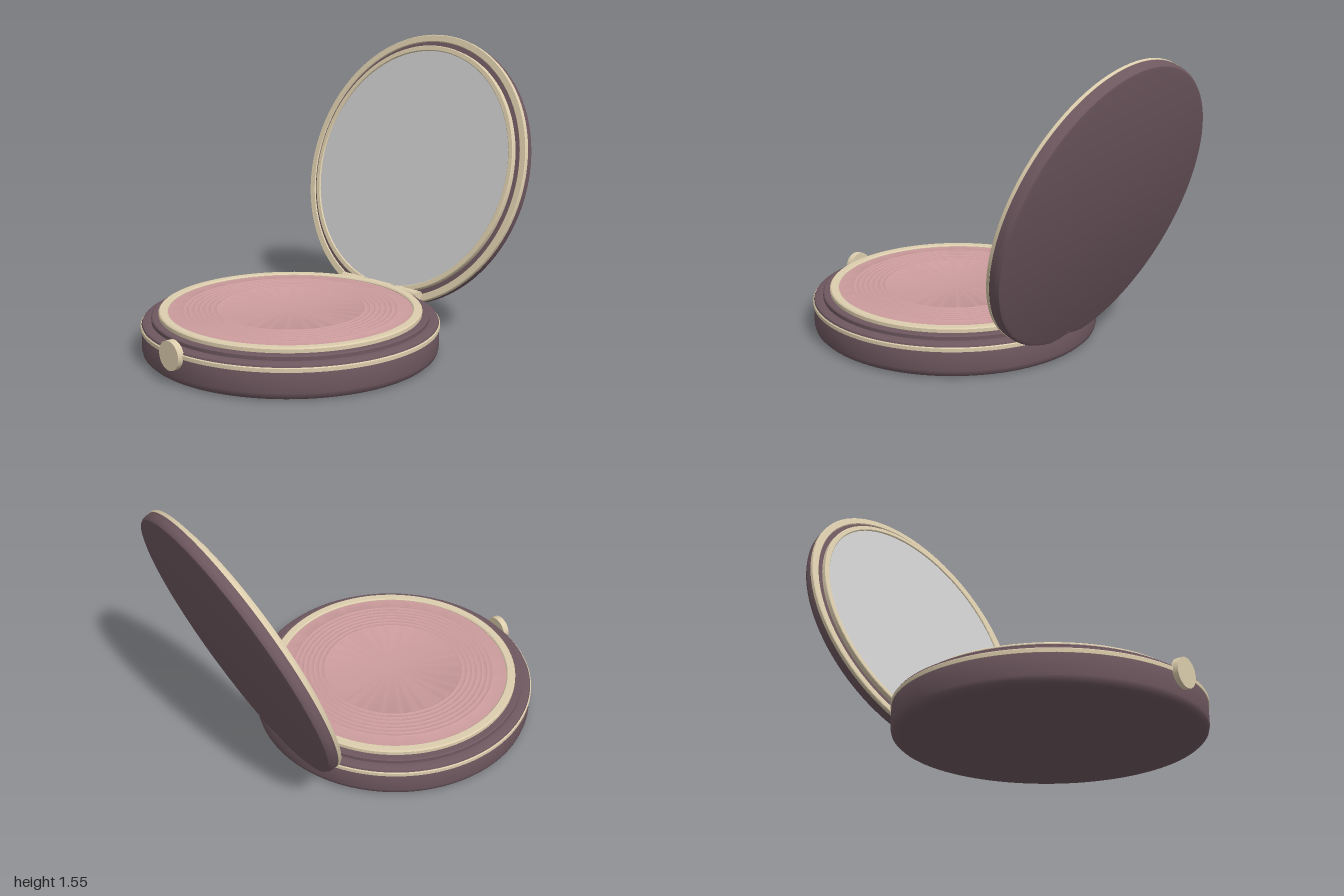
import * as THREE from 'three';
import { toCreasedNormals } from 'three/addons/utils/BufferGeometryUtils.js';

const SEGMENTS = 96;
const mat = (color) => new THREE.MeshStandardMaterial({ color });
const plum = mat(0x6e585f);
const gold = mat(0xdccdad);
const pink = mat(0xcb9b9c);
const glass = mat(0xcccccc);

// Turned part; the profile runs from the bottom axis, round the outside, to the top
function turned(name, profile, material) {
  const pts = profile.map(([r, y]) => new THREE.Vector2(r, y));
  const geo = toCreasedNormals(new THREE.LatheGeometry(pts, SEGMENTS), 0.6);
  const mesh = new THREE.Mesh(geo, material);
  mesh.name = name;
  return mesh;
}

// Ring with small bevels on its top edges
function ring(name, inner, outer, y0, y1, material, bevel = 0.006) {
  return turned(name, [
    [inner, y0], [outer, y0], [outer, y1 - bevel], [outer - bevel, y1],
    [inner + bevel, y1], [inner, y1 - bevel], [inner, y0],
  ], material);
}

function rod(name, radius, length, material, axis) {
  const mesh = new THREE.Mesh(
    toCreasedNormals(new THREE.CylinderGeometry(radius, radius, length, 40), 0.6), material);
  mesh.rotation[axis] = Math.PI / 2;
  mesh.name = name;
  return mesh;
}

function createBase() {
  const base = new THREE.Group();
  base.name = 'base';
  base.position.z = 0.215;
  base.add(turned('baseBody', [
    [0, 0], [0.72, 0], [0.741, 0.005], [0.755, 0.018], [0.76, 0.038],
    [0.76, 0.158], [0.754, 0.17], [0.74, 0.177], [0.71, 0.177],
    [0.71, 0.195], [0.704, 0.201], [0, 0.201],
  ], plum));
  base.add(ring('baseTrim', 0.74, 0.764, 0.139, 0.161, gold, 0.004));
  base.add(ring('panRim', 0.625, 0.673, 0.195, 0.225, gold));

  // Pressed powder with raised concentric ridges
  const profile = [[0, 0.19], [0.627, 0.19], [0.627, 0.216]];
  for (let i = 6; i >= 0; i--) {
    const r = 0.38 + i * 0.028;
    profile.push([r + 0.006, 0.216], [r, 0.219], [r - 0.006, 0.216]);
  }
  profile.push([0, 0.216]);
  base.add(turned('powder', profile, pink));
  return base;
}

function createLid() {
  // Local y = 0 is the lid's inner face; it leans back 18 degrees from upright
  const lid = new THREE.Group();
  lid.name = 'lid';
  lid.position.set(0, 0.832, -0.695);
  lid.rotation.x = THREE.MathUtils.degToRad(72);
  lid.add(turned('lidShell', [
    [0, -0.075], [0.73, -0.075], [0.746, -0.07], [0.755, -0.057],
    [0.757, -0.045], [0.757, -0.014], [0.72, -0.006], [0, -0.006],
  ], plum));
  lid.add(ring('lidTrim', 0.718, 0.759, -0.02, 0, gold, 0.004));
  lid.add(ring('mirrorRim', 0.662, 0.692, -0.01, 0.02, gold, 0.004));
  lid.add(turned('mirror', [[0, -0.01], [0.665, -0.01], [0.665, 0.012], [0, 0.012]], glass));
  return lid;
}

function createHinge() {
  const hinge = new THREE.Group();
  hinge.name = 'hinge';
  hinge.position.set(0, 0.195, -0.462);
  hinge.add(rod('hingePin', 0.018, 0.54, plum, 'z'));
  for (const x of [-0.2, 0, 0.2]) {
    const knuckle = rod('hingeKnuckle', 0.028, 0.16, gold, 'z');
    knuckle.position.x = x;
    hinge.add(knuckle);
  }
  return hinge;
}

export function createModel() {
  const model = new THREE.Group();
  model.name = 'compactMirror';
  const clasp = rod('claspButton', 0.073, 0.035, gold, 'x');
  clasp.position.set(0, 0.146, 0.9825);
  model.add(createBase(), createLid(), createHinge(), clasp);
  return model;
}
